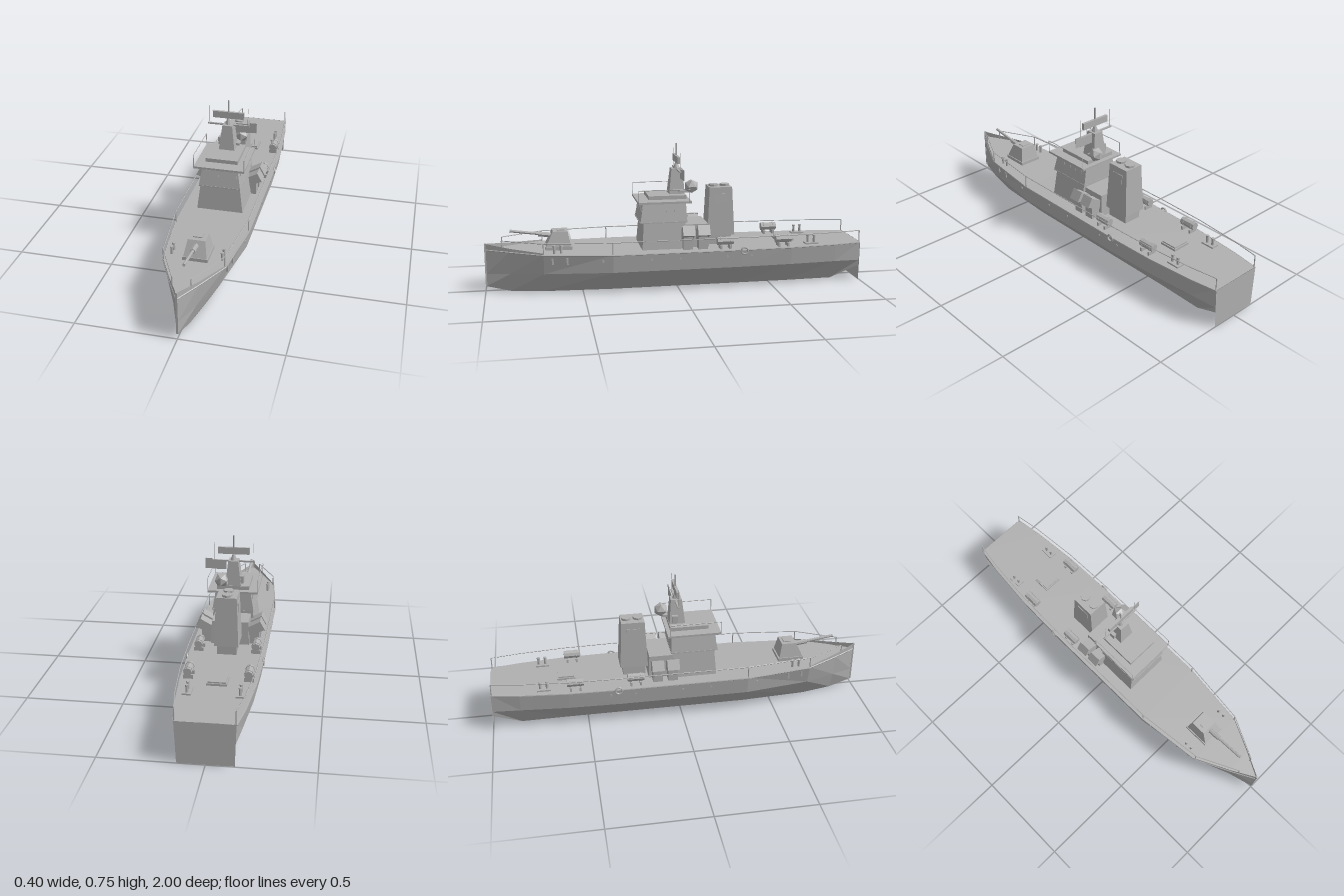
import * as THREE from 'three';

export function createModel() {
  const ship = new THREE.Group();
  ship.name = 'patrolShip';
  const grey = new THREE.MeshStandardMaterial({ color: 0xb0b0b0, flatShading: true, side: THREE.DoubleSide });
  grey.name = 'shipGrey';

  const add = (name, geo, x = 0, y = 0, z = 0) => {
    const m = new THREE.Mesh(geo, grey);
    m.name = name;
    m.position.set(x, y, z);
    ship.add(m);
    return m;
  };
  const box = (name, w, h, d, x, y, z) => add(name, new THREE.BoxGeometry(w, h, d), x, y, z);
  const cyl = (name, r, h, x, y, z, n = 8, r2 = r) => add(name, new THREE.CylinderGeometry(r2, r, h, n), x, y, z);
  // Tapered block: bottom and top given as [half width, back z, front z]
  const block = (name, y0, b, y1, t) => {
    const g = new THREE.BoxGeometry(2, 1, 1), p = g.attributes.position;
    for (let i = 0; i < p.count; i++) {
      const s = p.getY(i) > 0 ? t : b;
      p.setXYZ(i, p.getX(i) * s[0], p.getY(i) > 0 ? y1 : y0, p.getZ(i) > 0 ? s[2] : s[1]);
    }
    g.computeVertexNormals();
    return add(name, g);
  };
  // Thin bar between two points
  const bar = (name, a, b, r, n = 5) => {
    const A = new THREE.Vector3(...a), B = new THREE.Vector3(...b);
    const m = cyl(name, r, A.distanceTo(B), 0, 0, 0, n);
    m.position.copy(A).add(B).multiplyScalar(0.5);
    m.quaternion.setFromUnitVectors(new THREE.Vector3(0, 1, 0), B.sub(A).normalize());
    return m;
  };
  // Strip of quads between two equal-length point rows
  const strip = (name, a, b) => {
    const v = [];
    for (let i = 0; i < a.length - 1; i++)
      v.push(...a[i], ...b[i], ...b[i + 1], ...a[i], ...b[i + 1], ...a[i + 1]);
    const g = new THREE.BufferGeometry();
    g.setAttribute('position', new THREE.Float32BufferAttribute(v, 3));
    g.computeVertexNormals();
    return add(name, g);
  };

  // Hull stations: z, deck half width, chine half width, chine y, bottom half width, bottom y
  const stations = [
    [-0.995, 0.14, 0.135, 0.11, 0.13, 0.08], [-0.85, 0.163, 0.15, 0.113, 0.09, 0.005],
    [-0.6, 0.185, 0.172, 0.115, 0.08, 0], [-0.33, 0.192, 0.18, 0.115, 0.08, 0],
    [0.35, 0.192, 0.18, 0.115, 0.08, 0], [0.7, 0.153, 0.125, 0.11, 0.06, 0],
    [0.87, 0.07, 0.055, 0.1, 0.025, 0.0], [0.995, 0.002, 0.002, 0.09, 0.002, 0.025]
  ];
  const deckY = z => 0.212 + 0.01 * THREE.MathUtils.smoothstep(z, 0.3, 1);
  const edge = (s, dy = 0) => stations.map(q => [s * q[1], deckY(q[0]) + dy, q[0]]);
  const halfWidth = z => {
    let i = 0;
    while (i < stations.length - 2 && stations[i + 1][0] < z) i++;
    const a = stations[i], b = stations[i + 1];
    return THREE.MathUtils.lerp(a[1], b[1], (z - a[0]) / (b[0] - a[0]));
  };
  strip('deck', edge(-1), edge(1));
  for (const s of [-1, 1]) {
    const chine = stations.map(q => [s * q[2], q[3], q[0]]);
    const low = stations.map(q => [s * q[4], q[5], q[0]]);
    strip('hullSide', edge(s), chine);
    strip('hullBilge', chine, low);
    // Rubbing strake and rising bow bulwark
    const e = edge(s, -0.003);
    for (let i = 0; i < e.length - 1; i++) bar('rubbingStrake', e[i], e[i + 1], 0.004);
    const bow = edge(s).slice(5);
    strip('bowBulwark', bow, bow.map((p, i) => [p[0], [0.226, 0.238, 0.252][i], p[2]]));
  }
  // Transom plate and stem bar
  const plate = new THREE.Shape([[-0.132, 0], [0.132, 0], [0.14, 0.212], [-0.14, 0.212]].map(p => new THREE.Vector2(...p)));
  add('transom', new THREE.ShapeGeometry(plate), 0, 0, -0.997);
  box('stemBar', 0.01, 0.225, 0.008, 0, 0.142, 0.996);

  // Deckhouse, wheelhouse and roof
  block('lowerHouse', 0.21, [0.122, -0.04, 0.19], 0.352, [0.104, -0.04, 0.18]);
  block('wheelhouse', 0.352, [0.11, -0.05, 0.198], 0.455, [0.092, -0.045, 0.18]);
  box('wheelhouseSill', 0.222, 0.005, 0.25, 0, 0.353, 0.074);
  block('aftHouse', 0.21, [0.1, -0.17, -0.04], 0.335, [0.095, -0.165, -0.04]);
  box('bridgeRoof', 0.264, 0.011, 0.28, 0, 0.461, 0.07);
  box('upperBlock', 0.17, 0.02, 0.2, 0, 0.48, 0.05);
  for (const x of [-0.073, -0.024, 0.024, 0.073])
    box('frontWindow', 0.034, 0.033, 0.005, x, 0.425, 0.186).rotation.x = -0.17;
  for (const s of [-1, 1]) {
    for (const z of [0, 0.045, 0.09, 0.135])
      box('sideWindow', 0.005, 0.033, 0.032, s * 0.0975, 0.425, z).rotation.z = s * 0.17;
    // Roof rail
    bar('roofRail', [s * 0.132, 0.528, 0.21], [s * 0.132, 0.528, -0.06], 0.002);
    for (const z of [0.208, -0.058]) bar('roofRailPost', [s * 0.132, 0.46, z], [s * 0.132, 0.528, z], 0.002);
  }

  // Mast with yard, radar and antennas
  block('mast', 0.488, [0.042, -0.048, 0.035], 0.622, [0.026, -0.038, 0.02]);
  box('yard', 0.222, 0.008, 0.01, 0, 0.616, -0.012);
  cyl('radarPedestal', 0.018, 0.035, 0, 0.638, -0.01, 8, 0.005);
  box('radarBar', 0.165, 0.036, 0.014, 0, 0.672, -0.01);
  cyl('mastPole', 0.004, 0.066, 0, 0.721, -0.01);
  for (const s of [-1, 1]) cyl('whipAntenna', 0.0012, 0.097, s * 0.103, 0.667, -0.012, 5);
  box('signalPlateInner', 0.075, 0.05, 0.003, 0.074, 0.598, -0.025);
  box('signalPlateOuter', 0.037, 0.055, 0.003, 0.129, 0.603, -0.025);
  add('sensorDome', new THREE.IcosahedronGeometry(0.038, 0), 0.056, 0.532, -0.08);
  box('domeBracket', 0.03, 0.012, 0.06, 0.042, 0.505, -0.045);
  box('mastBox', 0.025, 0.04, 0.03, -0.042, 0.52, -0.02);

  // Funnel
  block('funnelBase', 0.21, [0.05, -0.3, -0.18], 0.27, [0.05, -0.3, -0.18]);
  block('funnel', 0.262, [0.062, -0.315, -0.168], 0.52, [0.052, -0.302, -0.18]);
  for (const z of [-0.272, -0.21]) cyl('exhaustCap', 0.026, 0.012, 0, 0.525, z, 8);
  for (const s of [-1, 1]) box('funnelPanel', 0.005, 0.05, 0.07, s * 0.055, 0.46, -0.24).rotation.z = s * 0.04;

  // Bow gun
  box('gunBase', 0.125, 0.018, 0.14, 0, 0.226, 0.618);
  block('gunTurret', 0.234, [0.058, 0.555, 0.685], 0.312, [0.043, 0.57, 0.648]);
  box('gunHatch', 0.045, 0.006, 0.04, 0, 0.314, 0.605);
  bar('gunBarrel', [0, 0.284, 0.64], [0, 0.316, 0.868], 0.0075, 8);
  bar('gunSleeve', [0, 0.284, 0.64], [0, 0.294, 0.72], 0.013, 8);

  // Deck hatch
  box('hatchCoaming', 0.1, 0.012, 0.095, 0, 0.217, -0.602);
  box('hatchLid', 0.088, 0.008, 0.083, 0, 0.226, -0.602);

  for (const s of [-1, 1]) {
    // Angled launchers
    for (const z of [-0.048, -0.128]) {
      box('launcherTube', 0.085, 0.05, 0.06, s * 0.13, 0.297, z).rotation.z = s * 0.5;
      box('launcherLid', 0.006, 0.056, 0.064, s * 0.166, 0.317, z).rotation.z = s * 0.5;
      box('launcherStand', 0.05, 0.07, 0.05, s * 0.125, 0.245, z);
    }
    // Life raft canisters
    for (const z of [-0.245, -0.56]) {
      const raft = cyl('lifeRaft', 0.021, 0.085, s * 0.147, 0.252, z, 8);
      raft.rotation.x = Math.PI / 2;
      for (const d of [-0.025, 0.025]) {
        box('raftCradle', 0.048, 0.02, 0.01, s * 0.147, 0.222, z + d);
        cyl('raftBand', 0.0235, 0.006, s * 0.147, 0.252, z + d, 8).rotation.x = Math.PI / 2;
      }
    }
    // Bollards
    for (const z of [0.61, 0.645, -0.705, -0.74]) {
      cyl('bollard', 0.007, 0.042, s * 0.125, 0.235, z);
      cyl('bollardCap', 0.009, 0.006, s * 0.125, 0.256, z);
    }
    box('bollardPlate', 0.042, 0.008, 0.07, s * 0.125, 0.216, -0.7225);
    // Life ring and portholes
    add('lifeRing', new THREE.TorusGeometry(0.018, 0.005, 6, 12), s * 0.194, 0.205, -0.34).rotation.y = Math.PI / 2;
    for (const z of [0.4, 0.15, 0, -0.25, -0.38])
      cyl('porthole', 0.006, 0.006, s * (halfWidth(z) - 0.004), 0.178, z).rotation.z = Math.PI / 2;
    for (const z of [0.58, 0.655])
      box('hawseSlot', 0.008, 0.035, 0.01, s * (halfWidth(z) - 0.007), 0.182, z);
    // Deck railing along the edge
    const zs = [0.91, 0.7, 0.35, -0.33, -0.6, -0.85, -0.99];
    const top = zs.map(z => [s * (halfWidth(z) - 0.003), 0.275, z]);
    top.forEach((p, i) => {
      if (i) bar('deckRail', top[i - 1], p, 0.0025);
      if ([0, 1, 2, 6].includes(i)) bar('railPost', [p[0], 0.212, p[2]], p, 0.003);
    });
  }
  return ship;
}
